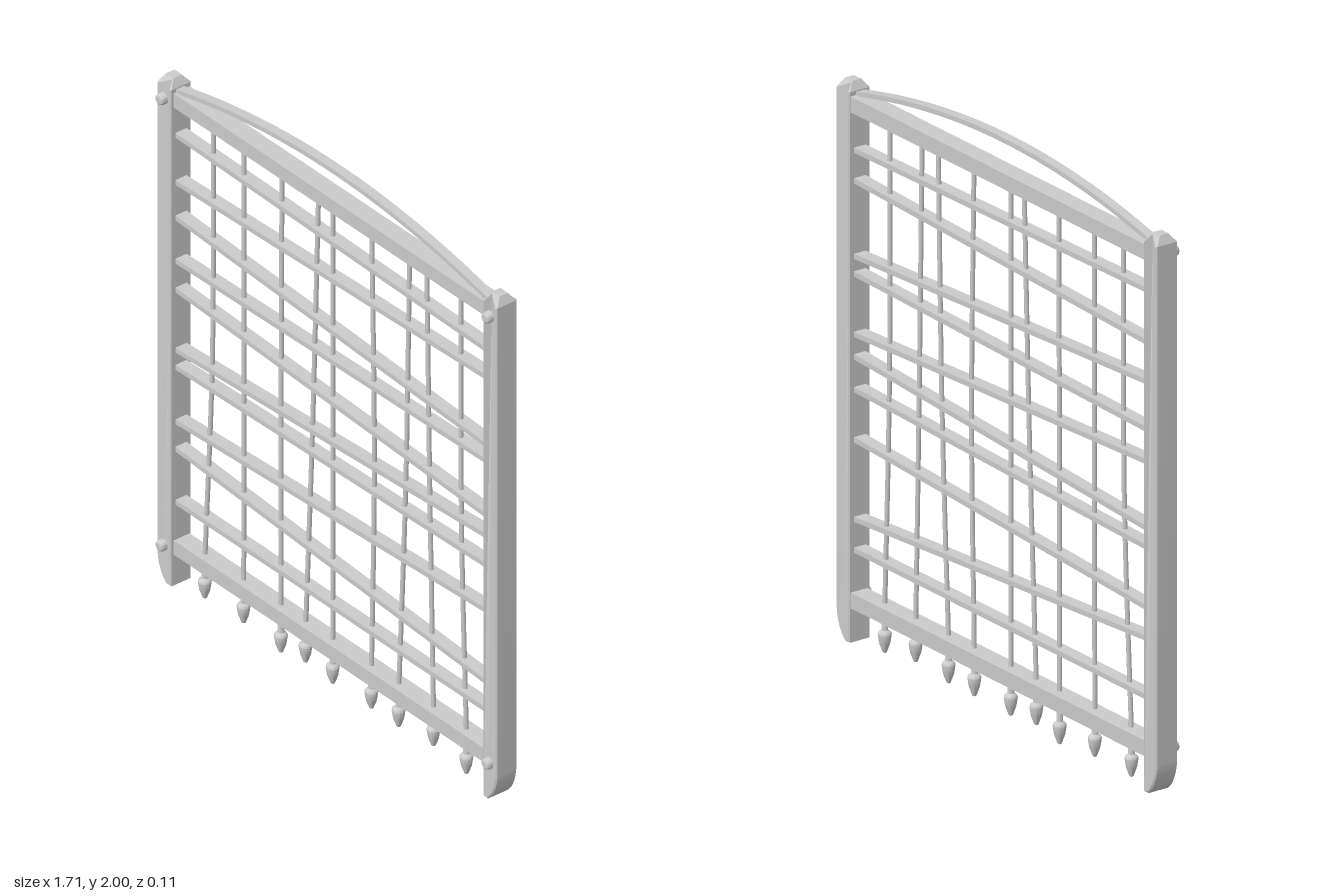
import * as THREE from 'three';
import { toCreasedNormals } from 'three/addons/utils/BufferGeometryUtils.js';

const ZC = -0.012; // depth centre of the frame

export function createModel() {
  const model = new THREE.Group();
  const mat = new THREE.MeshStandardMaterial({ color: 0xcccccc });
  const add = (name, geo, x = 0, y = 0, z = 0) => {
    const mesh = new THREE.Mesh(geo, mat);
    mesh.name = name;
    mesh.position.set(x, y, z);
    model.add(mesh);
    return mesh;
  };
  const v2 = (list) => list.map(([x, y]) => new THREE.Vector2(x, y));

  // Post: straight inner side, rounded outer foot, tapered cap
  const postShape = new THREE.Shape();
  postShape.moveTo(-0.035, 0.015);
  postShape.lineTo(-0.012, 0.015);
  postShape.quadraticCurveTo(0.03, 0.05, 0.035, 0.125);
  postShape.lineTo(0.035, 1.908);
  postShape.lineTo(0.019, 1.937);
  postShape.lineTo(-0.019, 1.937);
  postShape.lineTo(-0.035, 1.908);
  postShape.closePath();
  const postGeometry = () => {
    const geo = new THREE.ExtrudeGeometry(postShape, {
      depth: 0.077, curveSegments: 8,
      bevelEnabled: true, bevelThickness: 0.005, bevelSize: 0.005, bevelOffset: -0.005, bevelSegments: 1,
    });
    geo.translate(0, 0, -0.0385);
    const p = geo.attributes.position;
    for (let i = 0; i < p.count; i++) if (p.getY(i) > 1.925) p.setZ(i, p.getZ(i) * 0.45);
    return toCreasedNormals(geo, 0.5);
  };

  // Bolt: short shank with a domed head facing forward
  const boltGeo = toCreasedNormals(new THREE.LatheGeometry(
    v2([[0.02, -0.004], [0.02, 0.01], [0.017, 0.018], [0.01, 0.022], [0, 0.023]]), 16), 0.7);
  boltGeo.rotateX(Math.PI / 2);

  for (const side of [1, -1]) {
    const post = add(side > 0 ? 'leftPost' : 'rightPost', postGeometry(), side * 0.818, 0, ZC);
    if (side < 0) post.rotation.y = Math.PI;
    for (const y of [0.16, 1.863]) add('bolt', boltGeo, side * 0.818, y, 0.032);
  }

  // Top and bottom rails
  add('topRail', new THREE.BoxGeometry(1.58, 0.054, 0.066), 0, 1.866, -0.015);
  add('bottomRail', new THREE.BoxGeometry(1.58, 0.054, 0.066), 0, 0.16, -0.015);

  // Shallow arched strip above the top rail
  const arch = new THREE.Shape();
  arch.moveTo(-0.79, 1.902);
  arch.quadraticCurveTo(0, 2.098, 0.79, 1.902);
  arch.lineTo(0.79, 1.886);
  arch.quadraticCurveTo(0, 2.08, -0.79, 1.886);
  const archGeo = new THREE.ExtrudeGeometry(arch, { depth: 0.034, bevelEnabled: false, curveSegments: 28 });
  add('topArch', toCreasedNormals(archGeo, 0.5), 0, 0, -0.026);

  // Uneven crossbars: height at the -x end and at the +x end
  const bars = [[1.73, 1.705], [1.55, 1.6], [1.415, 1.34], [1.25, 1.28], [1.14, 1.072],
    [0.91, 0.995], [0.845, 0.882], [0.637, 0.71], [0.533, 0.436], [0.33, 0.33]];
  for (const [a, b] of bars) {
    const bar = add('crossbar', new THREE.BoxGeometry(Math.hypot(1.57, b - a), 0.018, 0.046), 0, (a + b) / 2, ZC);
    bar.rotation.z = Math.atan2(b - a, 1.57);
  }

  // Spearhead on a short shank
  const spearGeo = toCreasedNormals(new THREE.LatheGeometry(
    v2([[0, 0], [0.007, 0.004], [0.018, 0.034], [0.023, 0.066], [0.02, 0.073], [0.011, 0.08], [0.01, 0.15], [0, 0.15]]), 12), 0.6);

  // Slightly bent upright rods: x at top, middle and bottom, then the spear tip height
  const rods = [[-0.62, -0.625, -0.663, 0.015], [-0.466, -0.466, -0.468, 0.02], [-0.276, -0.28, -0.281, 0.003],
    [-0.092, -0.122, -0.157, 0.028], [-0.021, -0.021, -0.021, 0.016], [0.175, 0.188, 0.173, 0.02],
    [0.365, 0.345, 0.31, 0.02], [0.451, 0.467, 0.485, 0.036], [0.622, 0.625, 0.65, 0.014]];
  for (const [top, mid, bottom, tip] of rods) {
    const joints = [[top, 1.85], [mid, 0.95], [bottom, 0.16]].map(([x, y]) => new THREE.Vector3(x, y, ZC));
    const path = new THREE.CatmullRomCurve3(joints);
    add('uprightRod', new THREE.TubeGeometry(path, 12, 0.008, 8));
    add('spearhead', spearGeo, bottom, tip, ZC);
  }
  return model;
}
